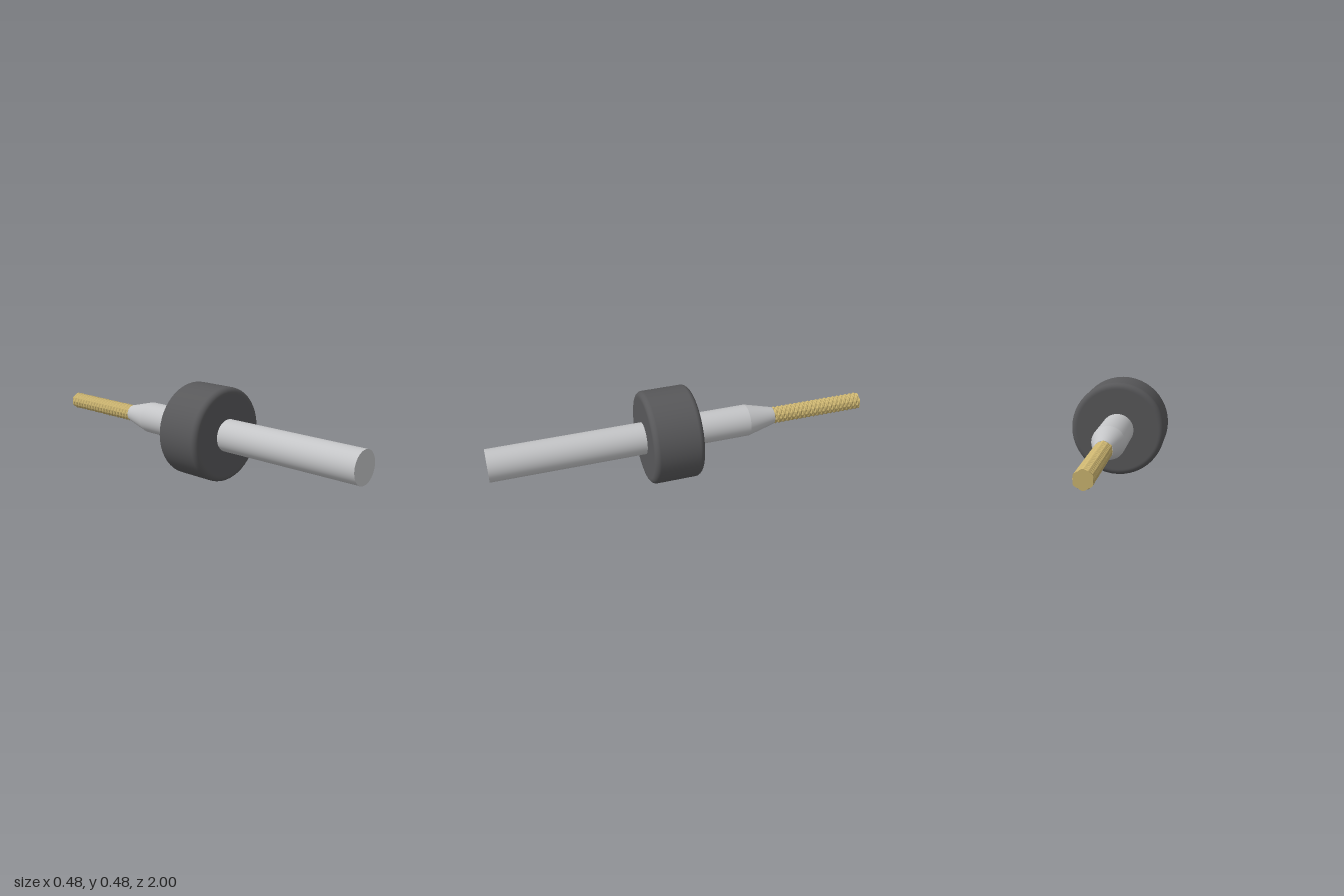
import * as THREE from 'three';

const AXIS_Y = 0.241;

// Cross-cut burr: rows of small diamond teeth between two opposed sets of helical grooves
function burrGeometry(z0, z1, core, tooth) {
  const around = 72, along = 200, starts = 6, lead = 0.15;
  const wave = t => 1 - 2 * Math.abs(t - Math.floor(t) - 0.5); // 0 in the groove, 1 on the crest
  const pos = [], index = [];
  for (let j = 0; j <= along; j++) {
    const d = (z1 - z0) * j / along;
    for (let i = 0; i < around; i++) {
      const turn = i / around;
      const h = Math.min(wave(starts * (turn + d / lead)), wave(starts * (turn - d / lead)));
      const r = core + tooth * h, a = turn * Math.PI * 2;
      pos.push(r * Math.cos(a), r * Math.sin(a), z0 + d);
    }
  }
  for (let j = 0; j < along; j++) {
    for (let i = 0; i < around; i++) {
      const a = j * around + i, b = j * around + (i + 1) % around;
      index.push(a, b, b + around, a, b + around, a + around);
    }
  }
  // flat tip
  const centre = pos.length / 3;
  pos.push(0, 0, z0);
  for (let i = 0; i < around; i++) index.push(centre, (i + 1) % around, i);
  const g = new THREE.BufferGeometry();
  g.setAttribute('position', new THREE.Float32BufferAttribute(pos, 3));
  g.setIndex(index);
  const faceted = g.toNonIndexed();
  faceted.computeVertexNormals();
  return faceted;
}

// Rounded collar profile revolved about the tool axis
function collarGeometry(z0, z1, R, inner, fillet) {
  const pts = [new THREE.Vector2(inner, z0), new THREE.Vector2(R - fillet - 0.003, z0)];
  const corner = (cz, from) => {
    for (let k = 0; k <= 8; k++) {
      const a = from + k / 8 * Math.PI / 2;
      pts.push(new THREE.Vector2(R - fillet + fillet * Math.cos(a), cz + fillet * Math.sin(a)));
    }
  };
  corner(z0 + fillet, -Math.PI / 2);
  corner(z1 - fillet, 0);
  pts.push(new THREE.Vector2(R - fillet - 0.003, z1), new THREE.Vector2(inner, z1));
  return new THREE.LatheGeometry(pts, 48).rotateX(Math.PI / 2);
}

// Round bar along z, from z0 (radius r0) to z1 (radius r1)
function bar(z0, r0, z1, r1) {
  return new THREE.CylinderGeometry(r1, r0, z1 - z0, 48)
    .rotateX(Math.PI / 2).translate(0, 0, (z0 + z1) / 2);
}

export function createModel() {
  const steel = new THREE.MeshStandardMaterial({ color: 0xc4c5c7 });
  steel.name = 'steel';
  const rubber = new THREE.MeshStandardMaterial({ color: 0x58585a });
  rubber.name = 'dark collar';
  const gold = new THREE.MeshStandardMaterial({ color: 0xcbb470 });
  gold.name = 'gold coating';

  const model = new THREE.Group();
  model.name = 'burrTool';
  const add = (name, geometry, material) => {
    const mesh = new THREE.Mesh(geometry, material);
    mesh.name = name;
    mesh.position.y = AXIS_Y;
    model.add(mesh);
  };

  add('shank', bar(-0.35, 0.083, 1, 0.083), steel);
  add('taper', bar(-0.5, 0.045, -0.35, 0.083), steel);
  add('collar', collarGeometry(-0.05, 0.21, 0.241, 0.08, 0.028), rubber);
  add('cutter', burrGeometry(-1, -0.5, 0.04, 0.006), gold);
  return model;
}
